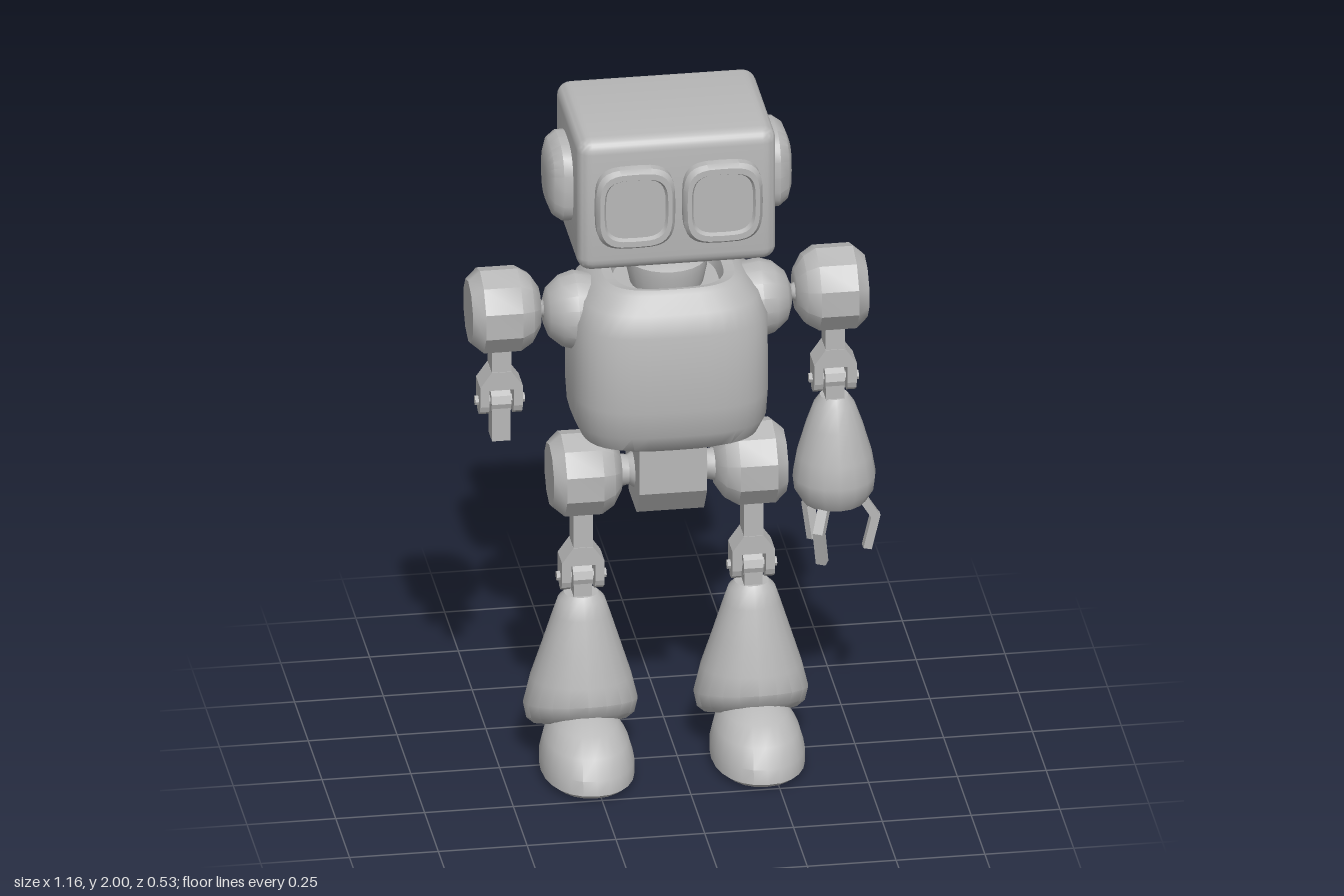
import * as THREE from 'three';
import { toCreasedNormals } from 'three/addons/utils/BufferGeometryUtils.js';
import { RoundedBoxGeometry } from 'three/addons/geometries/RoundedBoxGeometry.js';

const grey = new THREE.MeshStandardMaterial({ color: 0xb8b8b8 });
grey.name = 'plain grey';

function add(parent, name, geometry, x = 0, y = 0, z = 0) {
  const mesh = new THREE.Mesh(toCreasedNormals(geometry, 0.6), grey);
  mesh.name = name;
  mesh.position.set(x, y, z);
  parent.add(mesh);
  return mesh;
}

// Closed skin over superellipse rings [y, rx, rz, centreZ, tilt], stacked upwards
function loft(rings, n = 2, seg = 24) {
  const pos = [], idx = [];
  const power = (v) => Math.sign(v) * Math.abs(v) ** (2 / n);
  for (const [y, rx, rz, cz = 0, tilt = 0] of rings) {
    for (let j = 0; j < seg; j++) {
      const t = (j / seg) * Math.PI * 2;
      const z = power(Math.sin(t)) * rz;
      pos.push(power(Math.cos(t)) * rx, y + tilt * z, z + cz);
    }
  }
  const last = rings.length - 1;
  for (let j = 0; j < seg; j++) {
    const k = (j + 1) % seg;
    for (let i = 0; i < last; i++) {
      const a = i * seg + j, b = i * seg + k;
      idx.push(a, a + seg, b, b, a + seg, b + seg);
    }
    idx.push(seg * (last + 1), j, k, seg * (last + 1) + 1, last * seg + k, last * seg + j);
  }
  for (const [y, , , cz = 0] of [rings[0], rings[last]]) pos.push(0, y, cz);
  const g = new THREE.BufferGeometry();
  g.setAttribute('position', new THREE.Float32BufferAttribute(pos, 3));
  g.setIndex(idx);
  g.computeVertexNormals();
  return g;
}

// Round rings from [y, radius] pairs
const round = (profile) => profile.map(([y, r]) => [y, r, r]);
// Point the stacking axis sideways, outwards on side s
const sideways = (geometry, s) => geometry.rotateZ(-s * Math.PI / 2);

const BARREL = [[0.36, 0.06], [0.385, 0.1], [0.42, 0.122], [0.525, 0.122], [0.558, 0.092]];

// Fork, pin and tongue hanging below a barrel; the pin lies at y = 0
function hinge(parent, x, y, stub, tongue) {
  const joint = new THREE.Group();
  joint.name = 'hinge';
  joint.position.set(x, y, 0);
  parent.add(joint);
  add(joint, 'hingeStub', new THREE.BoxGeometry(0.055, stub, 0.075), 0, 0.08 + stub / 2, 0);
  const yoke = new THREE.Shape();
  [[-0.028, 0.1], [-0.06, 0.055], [-0.06, -0.005], [-0.034, -0.005], [-0.034, 0.045],
    [0.034, 0.045], [0.034, -0.005], [0.06, -0.005], [0.06, 0.055], [0.028, 0.1]]
    .forEach(([px, py], i) => (i ? yoke.lineTo(px, py) : yoke.moveTo(px, py)));
  add(joint, 'hingeFork', new THREE.ExtrudeGeometry(yoke, { depth: 0.08, bevelEnabled: false }), 0, 0, -0.04);
  for (const s of [-1, 1]) {
    add(joint, 'forkEnd', new THREE.CylinderGeometry(0.04, 0.04, 0.026, 10).rotateZ(Math.PI / 2), s * 0.047, 0, 0);
  }
  add(joint, 'hingePin', new THREE.CylinderGeometry(0.014, 0.014, 0.14, 8).rotateZ(Math.PI / 2));
  add(joint, 'tongueEnd', new THREE.CylinderGeometry(0.038, 0.038, 0.055, 10).rotateZ(Math.PI / 2));
  add(joint, 'tongue', new THREE.BoxGeometry(0.052, tongue, 0.066), 0, -tongue / 2, 0);
}

// Square bar between two points
function bar(parent, name, from, to, thickness) {
  const a = new THREE.Vector3(...from), b = new THREE.Vector3(...to);
  const mesh = add(parent, name, new THREE.BoxGeometry(thickness, a.distanceTo(b), thickness * 1.2));
  mesh.position.copy(a).add(b).multiplyScalar(0.5);
  mesh.quaternion.setFromUnitVectors(new THREE.Vector3(0, 1, 0), b.sub(a).normalize());
}

export function createModel() {
  const model = new THREE.Group();
  model.name = 'robot';
  const body = new THREE.Group();
  body.name = 'body';
  body.position.set(-0.025, 0, -0.035);
  model.add(body);

  // Head, eyes and ears
  add(body, 'head', new RoundedBoxGeometry(0.56, 0.405, 0.43, 3, 0.04), 0, 1.7975, -0.005);
  for (const s of [-1, 1]) {
    add(body, 'eye', loft([[0.19, 0.112, 0.122], [0.235, 0.112, 0.122], [0.25, 0.102, 0.112],
      [0.25, 0.09, 0.095], [0.238, 0.084, 0.089]], 3.6, 32).rotateX(Math.PI / 2), s * 0.123, 1.8, 0);
    add(body, 'ear', sideways(loft([[0.26, 0.117, 0.117], [0.305, 0.117, 0.117], [0.33, 0.1, 0.1],
      [0.342, 0.07, 0.07], [0.345, 0.03, 0.03]], 3), s), 0, 1.805, 0);
  }

  // Neck
  add(body, 'neckSocket', loft(round([[1.565, 0.05], [1.585, 0.08], [1.61, 0.085]])));
  add(body, 'neckPost', new THREE.CylinderGeometry(0.033, 0.033, 0.08, 16), 0, 1.56, 0);
  add(body, 'neckDisc', loft(round([[1.45, 0.1], [1.51, 0.113], [1.535, 0.113], [1.55, 0.085]])));

  // Chest with a sunken collar, and pelvis
  add(body, 'chest', loft([[1.01, 0.2, 0.165], [1.03, 0.25, 0.2], [1.08, 0.272, 0.226], [1.16, 0.277, 0.234],
    [1.39, 0.275, 0.234], [1.45, 0.25, 0.212], [1.495, 0.205, 0.175], [1.505, 0.185, 0.16],
    [1.5, 0.155, 0.14], [1.46, 0.145, 0.13]], 3.2, 40));
  const hipShape = new THREE.Shape();
  [[-0.128, 1.04], [-0.128, 0.86], [-0.07, 0.78], [0.07, 0.78], [0.128, 0.86], [0.128, 1.04]]
    .forEach(([z, y], i) => (i ? hipShape.lineTo(z, y) : hipShape.moveTo(z, y)));
  add(body, 'pelvis', new THREE.ExtrudeGeometry(hipShape, { depth: 0.19, bevelEnabled: false })
    .rotateY(Math.PI / 2), -0.095, 0, 0);

  for (const s of [-1, 1]) {
    // Shoulder and upper arm
    add(body, 'shoulderPod', sideways(loft(round([[0.2, 0.1], [0.26, 0.112], [0.3, 0.1], [0.335, 0.07],
      [0.348, 0.035]]), 2, 16), s), 0, 1.385, 0);
    add(body, 'shoulderShaft', sideways(loft(round([[0.33, 0.045], [0.352, 0.022], [0.38, 0.04]]), 2, 12), s), 0, 1.395, 0);
    add(body, 'shoulderBarrel', sideways(loft(round(BARREL), 2, 10), s), 0, 1.402, 0);
    hinge(body, s * 0.47, 1.125, 0.1, 0.115);

    // Hip
    add(body, 'hipShaft', sideways(loft(round([[0.08, 0.06], [0.11, 0.042], [0.15, 0.05]]), 2, 12), s), 0, 0.88, 0);
    add(body, 'hipBarrel', sideways(loft(round(BARREL), 2, 10), s), s * -0.228, 0.88, 0);

    // Leg
    hinge(body, s * 0.24, 0.565, 0.12, 0.08);
    add(body, 'shin', loft([[0.105, 0.13, 0.125, -0.018, 0.42], [0.125, 0.152, 0.14, -0.016, 0.4],
      [0.17, 0.161, 0.15, -0.015, 0.3], [0.25, 0.142, 0.132, -0.01, 0.12], [0.35, 0.111, 0.103],
      [0.45, 0.08, 0.072], [0.495, 0.065, 0.058], [0.512, 0.048, 0.043]], 2.1, 20), s * 0.24, 0, 0);
    add(body, 'foot', loft([[0, 0.11, 0.17, 0.1], [0.018, 0.13, 0.195, 0.1], [0.06, 0.13, 0.19, 0.098],
      [0.11, 0.116, 0.165, 0.085], [0.15, 0.09, 0.125, 0.065], [0.18, 0.05, 0.07, 0.04]], 2.2, 24), s * 0.24, 0, 0);
  }

  // Left forearm with a three-fingered claw
  const forearm = new THREE.Group();
  forearm.name = 'leftForearm';
  forearm.position.x = 0.472;
  body.add(forearm);
  add(forearm, 'forearmShell', loft(round([[0.735, 0.055], [0.748, 0.09], [0.785, 0.112], [0.825, 0.117],
    [0.89, 0.106], [0.98, 0.08], [1.045, 0.057], [1.07, 0.04]]), 2, 16));
  for (let i = 0; i < 3; i++) {
    const finger = new THREE.Group();
    finger.name = 'finger';
    finger.rotation.y = (i * Math.PI * 2) / 3;
    forearm.add(finger);
    bar(finger, 'fingerBase', [0.07, 0.76, 0], [0.117, 0.685, 0], 0.024);
    bar(finger, 'fingerTip', [0.117, 0.695, 0], [0.092, 0.59, 0], 0.024);
  }
  return model;
}
